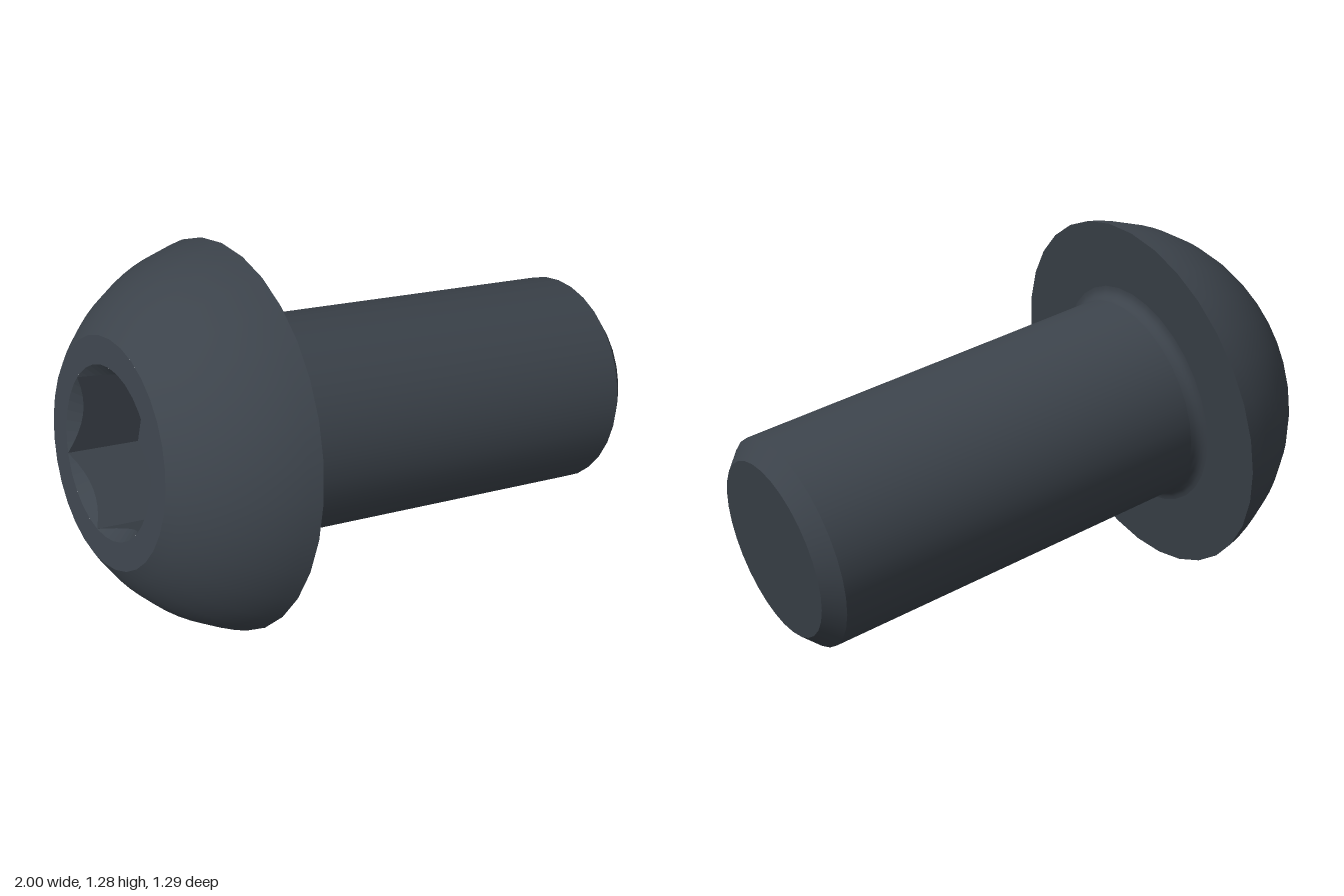
import * as THREE from 'three';

const SIDES = 32;
const HEAD_R = 0.65, TOP_R = 0.38, HEAD_H = 0.394;
const SHANK_R = 0.37, SHANK_END = -1.429;
const TIP_R = 0.311, TIP_END = -1.487;
const FILLET = 0.04;
const HEX_R = 0.286, HEX_DEPTH = 0.26;

const steel = new THREE.MeshStandardMaterial({ color: 0x3c434b });
steel.name = 'dark steel';

// Surface of revolution about the screw axis; profile runs from tip to head
function turned(name, profile) {
  const points = profile.map(([r, y]) => new THREE.Vector2(r, y));
  const mesh = new THREE.Mesh(new THREE.LatheGeometry(points, SIDES), steel);
  mesh.name = name;
  return mesh;
}

// Points along an arc in the profile plane
function arc(cx, cy, r, from, to, steps) {
  return Array.from({ length: steps + 1 }, (_, i) => {
    const a = from + (to - from) * i / steps;
    return [cx + r * Math.cos(a), cy + r * Math.sin(a)];
  });
}

// Hexagonal recess with a conical lead-in, a flat floor and curved chamfer edges
function hexSocket() {
  const perSide = 8, count = perSide * 6;
  const apothem = HEX_R * Math.cos(Math.PI / 6);
  const position = [];
  const ring = (i) => {
    const theta = i / count * Math.PI * 2;
    const local = (i % perSide) / perSide * Math.PI / 3 - Math.PI / 6;
    const r = apothem / Math.cos(local);
    return [[HEX_R, 0], [r, r - HEX_R], [r, -HEX_DEPTH], [0, -HEX_DEPTH]].map(([rad, y]) =>
      [rad * Math.sin(theta), HEAD_H + y, rad * Math.cos(theta)]);
  };
  for (let i = 0; i < count; i++) {
    const a = ring(i), b = ring(i + 1);
    for (let j = 0; j < 3; j++) {
      position.push(...a[j], ...b[j], ...a[j + 1]);
      if (j < 2) position.push(...b[j + 1], ...a[j + 1], ...b[j]);
    }
  }
  const geometry = new THREE.BufferGeometry();
  geometry.setAttribute('position', new THREE.Float32BufferAttribute(position, 3));
  geometry.computeVertexNormals();
  const mesh = new THREE.Mesh(geometry, steel);
  mesh.name = 'hexSocket';
  return mesh;
}

export function createModel() {
  const screw = new THREE.Group();
  screw.name = 'screw';

  // Shank, from the chamfered tip to the fillet under the head
  screw.add(
    turned('tipFace', [[0, TIP_END], [TIP_R, TIP_END]]),
    turned('tipChamfer', [[TIP_R, TIP_END], [SHANK_R, SHANK_END]]),
    turned('shank', [[SHANK_R, SHANK_END], [SHANK_R, -FILLET]]),
    turned('neckFillet', arc(SHANK_R + FILLET, -FILLET, FILLET, Math.PI, Math.PI / 2, 5)),
  );

  // Domed head: a slice of a sphere whose centre lies below the underside
  const drop = -0.156;
  const domeR = Math.hypot(HEAD_R, drop);
  const start = Math.atan2(-drop, HEAD_R);
  const end = Math.atan2(HEAD_H - drop, TOP_R);
  screw.add(
    turned('headUnderside', [[SHANK_R + FILLET, 0], [HEAD_R, 0]]),
    turned('headDome', arc(0, drop, domeR, start, end, 10)),
    turned('headTop', [[TOP_R, HEAD_H], [HEX_R, HEAD_H]]),
    hexSocket(),
  );

  // Tilt the axis, with one corner of the socket pointing upward
  const axis = new THREE.Vector3(-1, 0.2, -0.2126).normalize();
  const up = new THREE.Vector3(0, 1, 0).addScaledVector(axis, -axis.y).normalize();
  const side = new THREE.Vector3().crossVectors(axis, up);
  screw.quaternion.setFromRotationMatrix(new THREE.Matrix4().makeBasis(side, axis, up));
  screw.position.set(-0.515, 0.638, -0.01);

  const model = new THREE.Group();
  model.name = 'buttonHeadScrew';
  model.add(screw);
  return model;
}
